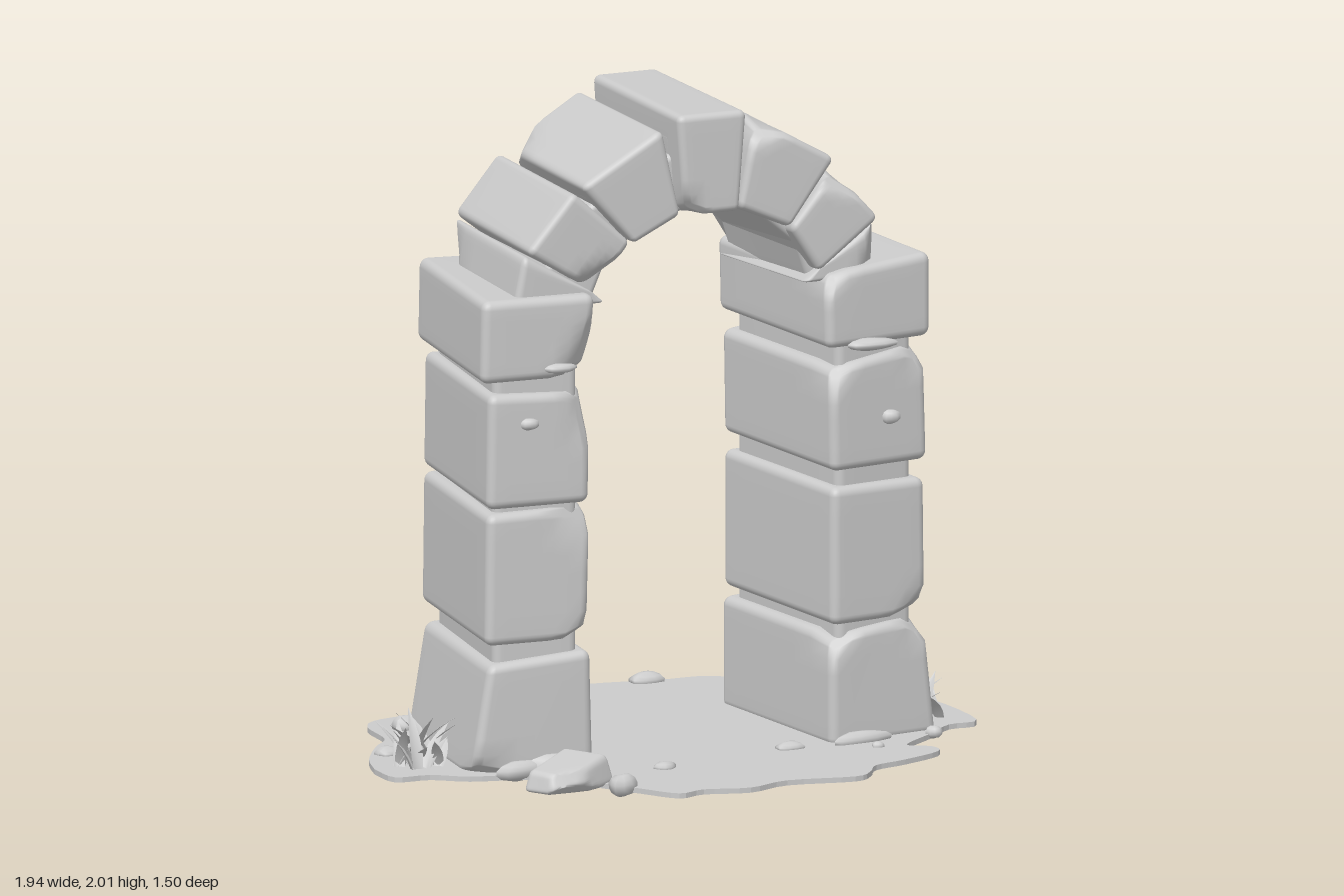
import * as THREE from 'three';
import { mergeVertices, mergeGeometries } from 'three/addons/utils/BufferGeometryUtils.js';

const stoneMat = new THREE.MeshStandardMaterial({ color: 0xcccccc });
const leafMat = new THREE.MeshStandardMaterial({ color: 0xcccccc, side: THREE.DoubleSide });

let seed = 11;
const rand = () => { seed = (seed * 16807) % 2147483647; return seed / 2147483647; };
const vary = (a) => (rand() * 2 - 1) * a;
const lerp = THREE.MathUtils.lerp;

function addMesh(parent, name, geometry, material = stoneMat) {
  const mesh = new THREE.Mesh(geometry, material);
  mesh.name = name;
  parent.add(mesh);
  return mesh;
}

// Round-edged box bent to eight corners. front/back: [topLeft, topRight, bottomRight, bottomLeft], each [x, y, z]
function stoneGeometry(front, back, radius = 0.028, chips = 2) {
  const N = 12, E = 3;
  const dist = (a, b) => Math.hypot(a[0] - b[0], a[1] - b[1], a[2] - b[2]);
  const half = new THREE.Vector3(
    (dist(front[0], front[1]) + dist(front[2], front[3])) / 4,
    (dist(front[0], front[3]) + dist(front[1], front[2])) / 4,
    (dist(front[0], back[0]) + dist(front[2], back[2])) / 4);
  const r = Math.min(radius, half.x * 0.6, half.y * 0.6);
  // grid lines gathered near the edges
  const grid = (t, h) => {
    const i = Math.round((t + 0.5) * N);
    if (i <= E) return -h + r * i / E;
    if (i >= N - E) return h - r * (N - i) / E;
    return lerp(-h + r, h - r, (i - E) / (N - 2 * E));
  };
  // planes that knock off a few corners
  const planes = [];
  for (let i = 0; i < chips; i++) {
    const n = new THREE.Vector3(rand() < 0.5 ? -1 : 1, rand() < 0.5 ? -1 : 1, rand() < 0.7 ? 1 : -1);
    const reach = n.clone().multiply(half);
    n.multiply(new THREE.Vector3(0.3 + rand() * 0.5, 0.3 + rand() * 0.6, 0.5 + rand() * 0.5)).normalize();
    planes.push({ n, d: n.dot(reach) - 0.045 - rand() * 0.02 });
  }
  let geo = new THREE.BoxGeometry(1, 1, 1, N, N, N);
  geo.deleteAttribute('normal');
  geo.deleteAttribute('uv');
  geo = mergeVertices(geo);
  const pos = geo.attributes.position, p = new THREE.Vector3(), core = new THREE.Vector3();
  const lim = half.clone().subScalar(r);
  for (let i = 0; i < pos.count; i++) {
    p.set(grid(pos.getX(i), half.x), grid(pos.getY(i), half.y), grid(pos.getZ(i), half.z));
    core.copy(p).clamp(lim.clone().negate(), lim);
    p.sub(core).setLength(r).add(core);
    for (const { n, d } of planes) {
      const over = n.dot(p) - d;
      if (over > 0) p.addScaledVector(n, -over);
    }
    const u = p.x / half.x / 2 + 0.5, v = p.y / half.y / 2 + 0.5, w = p.z / half.z / 2 + 0.5;
    const at = (q, k) => lerp(lerp(q[3][k], q[2][k], u), lerp(q[0][k], q[1][k], u), v);
    pos.setXYZ(i, ...[0, 1, 2].map((k) => lerp(at(back, k), at(front, k), w)));
  }
  geo.computeVertexNormals();
  return geo;
}

// Pillar stone; the plan narrows towards the back. x values are distances from the middle.
function pillarStone(side, b, inset = 0, chips = 2) {
  const left = side > 0;
  const zIn = (left ? 0.295 : 0.285) - inset, zOut = (left ? 0.24 : 0.27) - inset;
  const row = (inner, outer, yIn, yOut) => {
    const a = inner + inset, c = outer - inset;
    const pts = [
      [side * a, yIn, zIn], [side * c, yOut, zOut],
      [side * (a - 0.07), yIn, -0.365 + inset], [side * (c - (left ? 0.05 : 0.085)), yOut, -0.4 + inset]];
    return left ? pts : [pts[1], pts[0], pts[3], pts[2]];
  };
  const bot = row(b.in0, b.out0, b.y0, b.y0);
  const top = row(b.in1, b.out1, b.yIn, b.yOut);
  return stoneGeometry([top[0], top[1], bot[1], bot[0]], [top[2], top[3], bot[3], bot[2]], 0.028, chips);
}

// Low irregular pebble
function pebble(parent, name, x, y, z, sx, sy, sz, turn = 0) {
  const geo = new THREE.SphereGeometry(1, 10, 7);
  const pos = geo.attributes.position;
  for (let i = 0; i < pos.count; i++) {
    const a = pos.getX(i), b = pos.getY(i), c = pos.getZ(i);
    const k = 1 + 0.12 * Math.sin(3 * a + 5 * x) * Math.cos(4 * c + b);
    pos.setXYZ(i, a * k, b * k, c * k);
  }
  geo.scale(sx, sy, sz);
  geo.computeVertexNormals();
  const m = addMesh(parent, name, geo);
  m.position.set(x, y, z);
  m.rotation.y = turn;
}

// Tuft of pointed, bent leaves
function tuft(parent, name, x, z, height, spreadX, spreadZ, count) {
  const leaves = [];
  for (let i = 0; i < count; i++) {
    const h = height * (0.5 + 0.5 * rand()), leaf = new THREE.PlaneGeometry(0.045, h, 2, 4);
    leaf.translate(0, h / 2, 0);
    const pos = leaf.attributes.position;
    for (let j = 0; j < pos.count; j++) {
      const t = pos.getY(j) / h, fold = Math.abs(pos.getX(j)) * 0.4;
      pos.setX(j, pos.getX(j) * (1 - t) * (0.7 + 1.6 * t));
      pos.setZ(j, 0.3 * h * t * t - fold * (1 - t));
    }
    leaf.rotateX(0.1 + rand() * 0.5);
    leaf.rotateY(i * 2.4);
    leaf.translate(x + vary(spreadX), 0.012, z + vary(spreadZ));
    leaf.computeVertexNormals();
    leaves.push(leaf);
  }
  addMesh(parent, name, mergeGeometries(leaves), leafMat);
}

export function createModel() {
  const model = new THREE.Group();
  model.name = 'stoneArch';

  // Ragged ground patch
  const outline = [[-.97, .05], [-.93, -.08], [-.84, -.23], [-.77, -.32], [-.75, -.49], [-.67, -.57], [-.44, -.61],
    [-.36, -.73], [-.26, -.75], [-.1, -.72], [.1, -.755], [.31, -.72], [.47, -.71], [.57, -.62], [.66, -.52], [.78, -.44],
    [.865, -.33], [.875, -.21], [.955, -.13], [.965, .17], [.86, .2], [.76, .29], [.63, .4], [.69, .45], [.68, .52],
    [.54, .585], [.43, .62], [.38, .69], [.31, .735], [.1, .7], [-.04, .745], [-.18, .71], [-.27, .73], [-.35, .62],
    [-.44, .48], [-.5, .36], [-.6, .3], [-.75, .26], [-.85, .19], [-.96, .175]];
  const curve = new THREE.SplineCurve([...outline, outline[0]].map(([x, z]) => new THREE.Vector2(x, -z)));
  const ground = new THREE.ExtrudeGeometry(new THREE.Shape(curve.getPoints(160).slice(0, -1)),
    { depth: 0.016, bevelEnabled: false });
  ground.rotateX(-Math.PI / 2);
  addMesh(model, 'ground', ground);

  // Pillars: stones from foot to capital, around a recessed mortar core
  const pillars = {
    rightPillar: [-1, [
      { y0: 0, yIn: .375, yOut: .35, in0: .35, out0: .75, in1: .36, out1: .69 },
      { y0: .41, yIn: .82, yOut: .815, in0: .37, out0: .70, in1: .36, out1: .695 },
      { y0: .83, yIn: 1.17, yOut: 1.185, in0: .365, out0: .695, in1: .36, out1: .69 },
      { y0: 1.22, yIn: 1.47, yOut: 1.475, in0: .36, out0: .715, in1: .345, out1: .71 }]],
    leftPillar: [1, [
      { y0: 0, yIn: .345, yOut: .37, in0: .43, out0: .805, in1: .43, out1: .765 },
      { y0: .375, yIn: .8, yOut: .795, in0: .435, out0: .77, in1: .435, out1: .765 },
      { y0: .85, yIn: 1.17, yOut: 1.21, in0: .435, out0: .775, in1: .43, out1: .765 },
      { y0: 1.23, yIn: 1.46, yOut: 1.49, in0: .42, out0: .785, in1: .415, out1: .785 }]]
  };
  for (const [name, [side, stones]] of Object.entries(pillars)) {
    const group = new THREE.Group();
    group.name = name;
    model.add(group);
    stones.forEach((s, i) => addMesh(group, 'pillarStone' + (i + 1), pillarStone(side, s)));
    const [a, c] = side > 0 ? [.43, .77] : [.355, .695];
    addMesh(group, 'mortarCore',
      pillarStone(side, { y0: .02, yIn: 1.4, yOut: 1.4, in0: a, out0: c, in1: a, out1: c }, 0.035, 0));
  }

  // Arch stones: outer left, outer right, inner right, inner left, then front z
  const arch = new THREE.Group();
  arch.name = 'arch';
  model.add(arch);
  const voussoirs = [
    [[-.595, 1.43], [-.56, 1.6], [-.335, 1.47], [-.29, 1.43], .24],
    [[-.56, 1.61], [-.405, 1.785], [-.215, 1.615], [-.33, 1.47], .26],
    [[-.385, 1.8], [-.115, 1.955], [-.055, 1.685], [-.21, 1.61], .27],
    [[-.075, 1.995], [.155, 1.995], [.13, 1.685], [-.05, 1.685], .29],
    [[.19, 1.965], [.455, 1.815], [.305, 1.615], [.135, 1.69], .275],
    [[.455, 1.78], [.605, 1.615], [.405, 1.465], [.31, 1.61], .265],
    [[.605, 1.6], [.64, 1.43], [.36, 1.43], [.41, 1.47], .24]];
  const archStone = (q, zFront, zBack, chips) => stoneGeometry(
    q.map(([x, y]) => [x, y, zFront]),
    q.map(([x, y], i) => [0.03 + (x - 0.03) * 0.94, y - (i > 1 ? 0.03 : 0), zBack]), 0.022, chips);
  voussoirs.forEach((v, i) => {
    addMesh(arch, i === 3 ? 'keystone' : 'archStone' + (i + 1), archStone(v.slice(0, 4), v[4], -0.36, 1));
    // mortar filling the joint to the next stone
    const n = voussoirs[i + 1];
    if (!n) return;
    const mix = (a, b, t) => [lerp(a[0], b[0], t), lerp(a[1], b[1], t)];
    addMesh(arch, 'mortarJoint' + (i + 1), archStone([
      mix(v[0], v[3], 0.2), mix(n[1], n[2], 0.2), mix(n[1], n[2], 0.88), mix(v[0], v[3], 0.88)], 0.21, -0.32, 0));
  });

  // Fallen block and a smaller chunk beside it
  const corner = (x, y, z) => [x, y, z];
  const fallen = addMesh(model, 'fallenBlock', stoneGeometry(
    [corner(-.12, .06, .08), corner(.11, .095, .08), corner(.13, 0, .1), corner(-.13, 0, .1)],
    [corner(-.1, .065, -.07), corner(.1, .1, -.07), corner(.12, 0, -.08), corner(-.12, 0, -.08)], 0.018, 2));
  fallen.position.set(-.53, .005, .475);
  fallen.rotation.y = 0.6;

  // Pebbles and rubble: x, y, z, half sizes, turn
  [[-.385, .02, .57, .06, .035, .04, .8], [.275, .02, -.715, .06, .025, .036, 0], [-.65, .025, -.43, .05, .03, .045, .5],
    [.78, .025, -.36, .035, .03, .03, 0], [-.165, .018, .39, .035, .018, .03, 0], [.77, .02, .29, .026, .02, .026, 0],
    [.54, .018, .39, .02, .014, .016, 0], [-.845, .018, -.13, .045, .02, .04, .4], [-.47, .03, .29, .1, .04, .04, 0],
    [-.58, .025, .28, .1, .03, .035, .2], [.53, .022, .3, .11, .025, .03, .2], [.29, .018, .3, .05, .018, .03, 0]
  ].forEach((p) => pebble(model, 'pebble', ...p));

  // Chips clinging to the pillar fronts
  [[-.56, 1.09, .28, .03, .018, .02], [-.46, 1.255, .285, .05, .015, .025], [.57, 1.235, .285, .085, .018, .035],
    [.64, 1.0, .265, .03, .022, .022]].forEach((p) => pebble(model, 'stoneChip', ...p));

  // Leaf tufts at the outer feet
  tuft(model, 'rightTuft', -.83, .04, .2, .06, .06, 20);
  tuft(model, 'leftTuft', .855, .01, .15, .03, .13, 20);
  return model;
}
